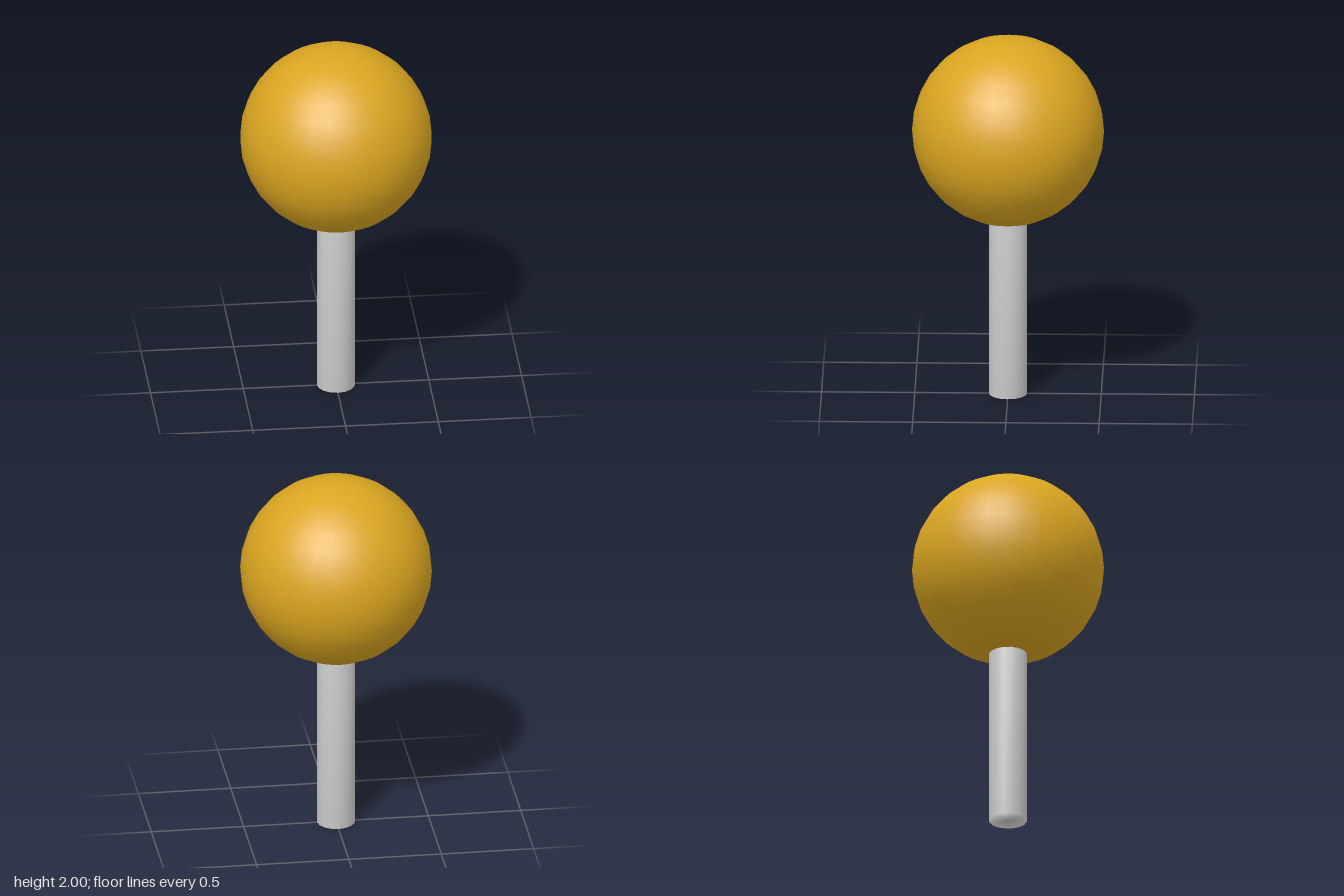
import * as THREE from 'three';
import { mergeVertices } from 'three/addons/utils/BufferGeometryUtils.js';

const BALL_RADIUS = 0.515;
const POST_RADIUS = 0.103;
const POST_HEIGHT = 1.03;

export function createModel() {
  const model = new THREE.Group();
  model.name = 'ballOnPost';

  // Post: closed cylinder with normals blended softly over its end caps
  let postGeometry = new THREE.CylinderGeometry(POST_RADIUS, POST_RADIUS, POST_HEIGHT, 16);
  postGeometry.deleteAttribute('normal');
  postGeometry.deleteAttribute('uv');
  postGeometry = mergeVertices(postGeometry);
  postGeometry.computeVertexNormals();
  const post = new THREE.Mesh(postGeometry, new THREE.MeshStandardMaterial({ color: 0xcccccc }));
  post.name = 'post';
  post.position.y = POST_HEIGHT / 2;
  model.add(post);

  // Ball: smooth golden sphere resting over the top of the post
  const ball = new THREE.Mesh(
    new THREE.SphereGeometry(BALL_RADIUS, 32, 16),
    new THREE.MeshStandardMaterial({ color: 0xdaa520 })
  );
  ball.name = 'ball';
  ball.position.y = 2 - BALL_RADIUS;
  model.add(ball);

  return model;
}
